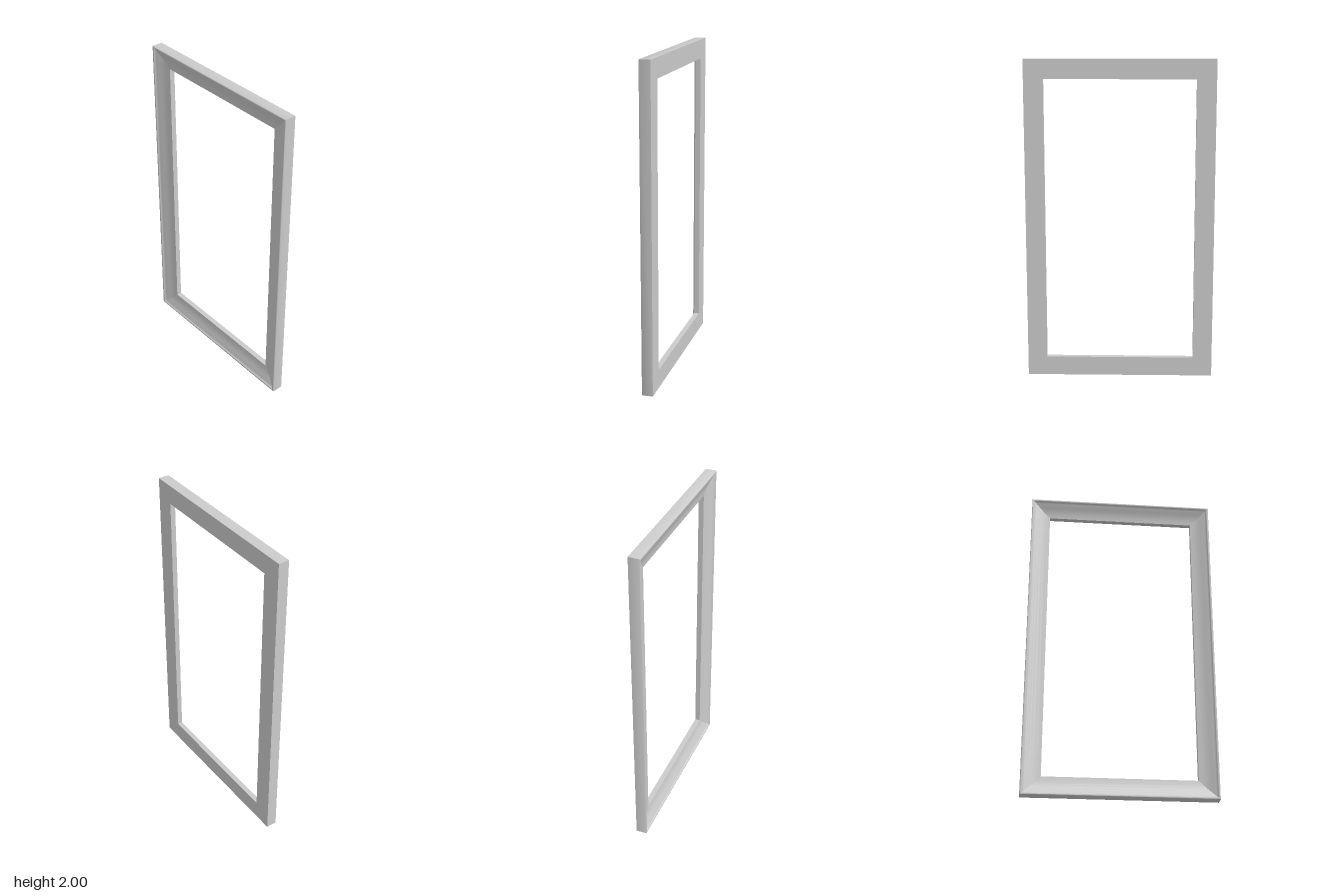
import * as THREE from 'three';
import { toCreasedNormals } from 'three/addons/utils/BufferGeometryUtils.js';

const HALF_W = 0.585, HALF_H = 1;

// Moulding section: [inset from outer edge, z], from outer back round to inner back
const PROFILE = [
  [0, -0.035], [0, 0.031], [0.002, 0.034], [0.005, 0.035], [0.01, 0.035],
  [0.013, 0.033], [0.016, 0.027], [0.024, 0.024], [0.036, 0.02],
  [0.052, 0.013], [0.072, 0.006], [0.095, 0.001], [0.12, -0.002], [0.12, -0.035],
];

// Corner directions, counter-clockwise seen from the front
const CORNERS = [[1, 1], [-1, 1], [-1, -1], [1, -1]];

function cornerPoint(corner, [inset, z]) {
  const [sx, sy] = CORNERS[corner % 4];
  return [sx * (HALF_W - inset), HALF_H + sy * (HALF_H - inset), z];
}

// One rail with mitred ends between two neighbouring corners
function railGeometry(k) {
  const positions = [];
  PROFILE.forEach((p, j) => {
    const q = PROFILE[(j + 1) % PROFILE.length];
    const a = cornerPoint(k, p), b = cornerPoint(k + 1, p);
    const c = cornerPoint(k + 1, q), d = cornerPoint(k, q);
    positions.push(...a, ...b, ...c, ...a, ...c, ...d);
  });
  const geometry = new THREE.BufferGeometry();
  geometry.setAttribute('position', new THREE.Float32BufferAttribute(positions, 3));
  return toCreasedNormals(geometry, 0.8);
}

export function createModel() {
  const frame = new THREE.Group();
  frame.name = 'pictureFrame';
  const material = new THREE.MeshStandardMaterial({ color: 0xcccccc });
  ['topRail', 'rightRail', 'bottomRail', 'leftRail'].forEach((name, k) => {
    const rail = new THREE.Mesh(railGeometry(k), material);
    rail.name = name;
    frame.add(rail);
  });
  return frame;
}
